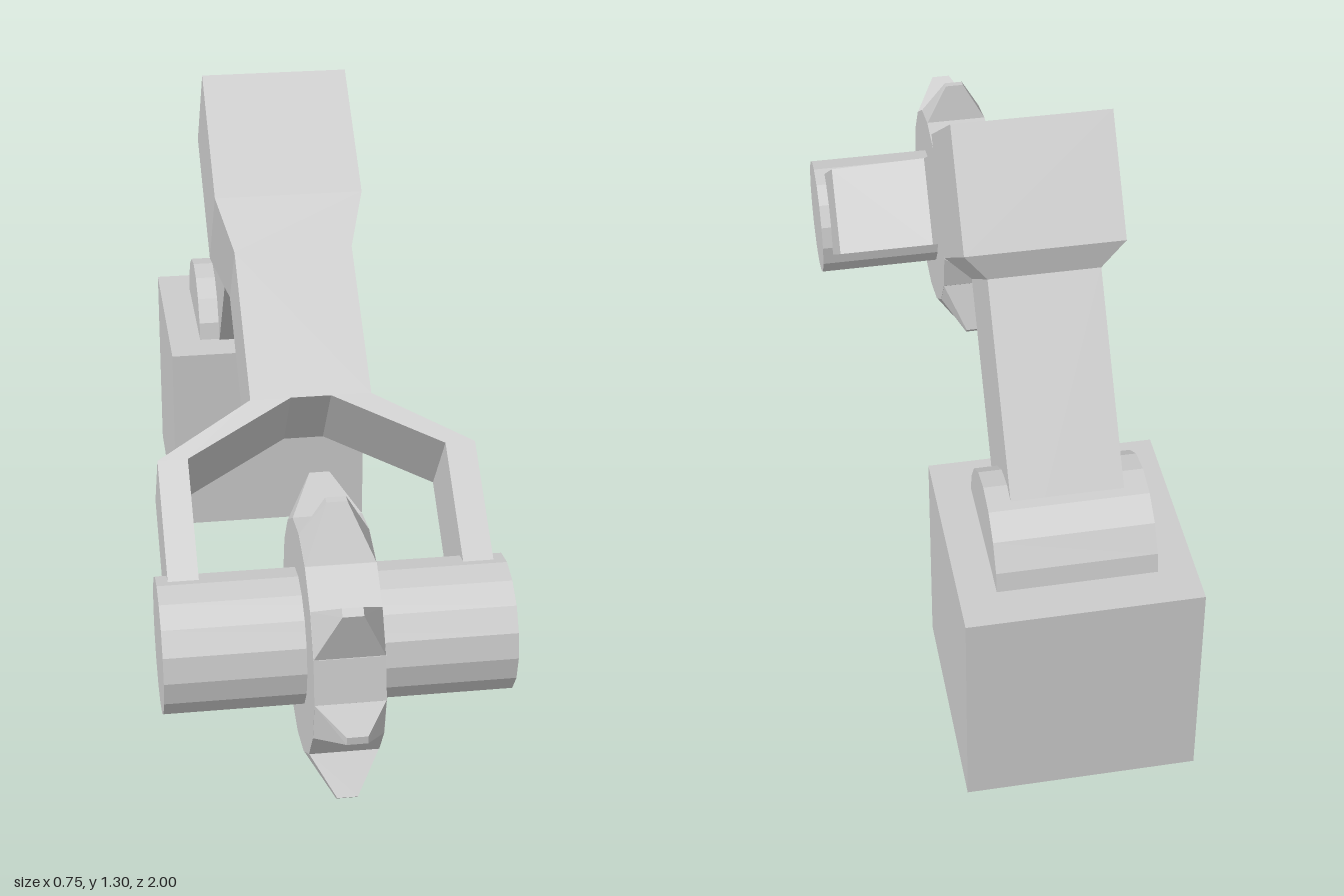
import * as THREE from 'three';
import { ConvexGeometry } from 'three/addons/geometries/ConvexGeometry.js';

const material = new THREE.MeshStandardMaterial({ color: 0xcccccc, flatShading: true });

function add(parent, name, geometry, x = 0, y = 0, z = 0) {
  const mesh = new THREE.Mesh(geometry, material);
  mesh.name = name;
  mesh.position.set(x, y, z);
  parent.add(mesh);
  return mesh;
}

// Cylinder lying along x, with angles measured from +z towards +y
function axle(radius, width, sides, start = 0, length = Math.PI * 2) {
  return new THREE.CylinderGeometry(radius, radius, width, sides, 1, false, start, length).rotateZ(Math.PI / 2);
}

// Solid spanning two mirrored cross-sections: each is [halfWidth, [y, z], [y, z]]
function taper(...sections) {
  const points = [];
  for (const [w, ...corners] of sections)
    for (const [y, z] of corners)
      for (const side of [-1, 1]) points.push(new THREE.Vector3(side * w, y, z));
  return new ConvexGeometry(points);
}

export function createModel() {
  const model = new THREE.Group();
  model.name = 'cutterArm';

  // Base block and half-round shoulder joint
  add(model, 'base', new THREE.BoxGeometry(0.5, 0.5, 0.5), 0, 0.25, -0.75);
  add(model, 'shoulder', axle(0.165, 0.34, 8, 0, Math.PI), 0, 0.48, -0.75);

  // Arm frame: origin at the wheel axle, z runs along the upper arm
  const arm = new THREE.Group();
  arm.name = 'arm';
  arm.position.set(0, 0.39, 0.65);
  arm.rotation.x = THREE.MathUtils.degToRad(36);
  model.add(arm);

  add(arm, 'lowerArm', new THREE.BoxGeometry(0.24, 0.663, 0.25), 0, -0.518, -1.187);
  add(arm, 'elbow', new THREE.BoxGeometry(0.34, 0.272, 0.34), 0, 0, -1.19);
  add(arm, 'elbowCollar', taper(
    [0.17, [-0.136, -1.36], [-0.136, -1.02]],
    [0.12, [-0.187, -1.312], [-0.187, -1.062]]));
  add(arm, 'elbowTaper', taper(
    [0.17, [-0.136, -1.02], [0.136, -1.02]],
    [0.135, [-0.105, -0.893], [0.105, -0.893]]));

  // Upper arm and fork, one outline mirrored in x
  const half = [[0.135, 0.893], [0.135, 0.516], [0.35, 0.383], [0.35, 0], [0.284, 0], [0.284, 0.383], [0.045, 0.516]];
  const outline = [...half, ...half.map(([x, y]) => [-x, y]).reverse()];
  const shape = new THREE.Shape(outline.map(([x, y]) => new THREE.Vector2(x, y)));
  const fork = new THREE.ExtrudeGeometry(shape, { depth: 0.21, bevelEnabled: false });
  add(arm, 'forkedUpperArm', fork.rotateX(-Math.PI / 2), 0, -0.105, 0);

  // Toothed wheel on a thick axle
  const wheel = new THREE.Group();
  wheel.name = 'wheel';
  wheel.position.copy(arm.position);
  model.add(wheel);
  add(wheel, 'axle', axle(0.148, 0.75, 16));
  add(wheel, 'wheelBody', axle(0.255, 0.15, 16, THREE.MathUtils.degToRad(-1)));

  // Swept teeth, narrowing to a small flat tip
  const polar = (radius, degrees) => {
    const a = THREE.MathUtils.degToRad(degrees);
    return [radius * Math.sin(a), -radius * Math.cos(a)];
  };
  for (let i = 0; i < 8; i++) {
    const a = i * 45;
    add(wheel, 'tooth', taper(
      [0.075, polar(0.254, a + 1), polar(0.254, a + 23.5)],
      [0.022, polar(0.35, a + 3.5), polar(0.35, a + 6.5)]));
  }
  return model;
}
